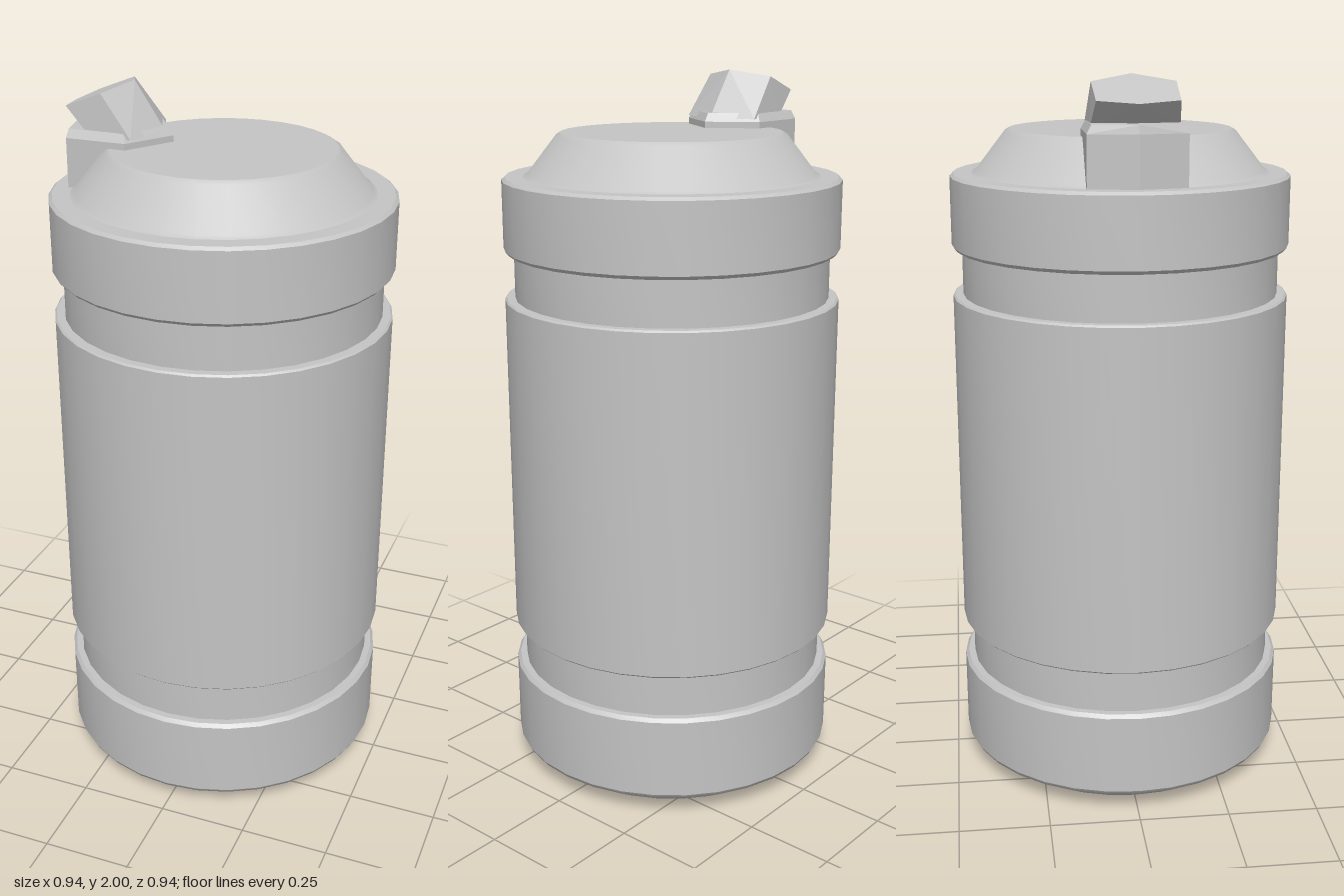
import * as THREE from 'three';
import { toCreasedNormals } from 'three/addons/utils/BufferGeometryUtils.js';
import { ConvexGeometry } from 'three/addons/geometries/ConvexGeometry.js';

const SIDES = 32;

export function createModel() {
  const group = new THREE.Group();
  const grey = new THREE.MeshStandardMaterial({ color: 0xc4c4c4 });
  grey.name = 'grey';

  const add = (name, geometry) => {
    const mesh = new THREE.Mesh(geometry, grey);
    mesh.name = name;
    group.add(mesh);
  };

  // Turned parts: profile of [radius, height], running upward on the outside
  const turned = (name, profile) => {
    const points = profile.map(([r, y]) => new THREE.Vector2(r, y));
    add(name, toCreasedNormals(new THREE.LatheGeometry(points, SIDES), 0.5));
  };

  // Bottom cup with a chamfered foot and a recessed floor
  turned('base', [
    [0, 0.045], [0.255, 0.045], [0.265, 0.04], [0.3, 0.005], [0.31, 0],
    [0.365, 0], [0.38, 0.005], [0.46, 0.058], [0.467, 0.07],
    [0.468, 0.295], [0.459, 0.305], [0.44, 0.305],
  ]);
  turned('lowerGroove', [[0.44, 0.305], [0.44, 0.43]]);

  // Main sleeve
  turned('sleeve', [
    [0.44, 0.43], [0.463, 0.43], [0.468, 0.435],
    [0.468, 1.39], [0.463, 1.395], [0.44, 1.395],
  ]);
  turned('upperGroove', [[0.44, 1.395], [0.44, 1.523]]);

  // Cap band and sloping lid
  turned('lid', [
    [0.44, 1.523], [0.459, 1.523], [0.468, 1.533], [0.468, 1.72],
    [0.459, 1.728], [0.41, 1.728], [0.398, 1.735], [0.318, 1.837],
    [0.305, 1.845], [0, 1.845],
  ]);

  // Convex solid from [x, y, z] points, mirrored across z
  const solid = (name, points) => {
    const all = points.flatMap(([x, y, z]) => z
      ? [new THREE.Vector3(x, y, z), new THREE.Vector3(x, y, -z)]
      : [new THREE.Vector3(x, y, 0)]);
    add(name, new ConvexGeometry(all));
  };

  // Spout socket: upright six-sided block with a bevelled rim
  const ring = (y, inset) => [
    [-0.422 + inset * 0.3, y, 0], [-0.398 + inset * 0.3, y, 0.128 - inset],
    [-0.228 - inset * 0.6, y, 0.128 - inset], [-0.143 - inset * 1.2, y, 0],
  ];
  solid('spoutSocket', [...ring(1.725, 0), ...ring(1.862, 0), ...ring(1.885, 0.012)]);

  // Tilted six-sided nozzle
  solid('spoutNozzle', [
    [-0.425, 1.935, 0], [-0.406, 1.942, 0.105],
    [-0.302, 1.983, 0.108], [-0.252, 2, 0],
    [-0.348, 1.865, 0], [-0.335, 1.87, 0.115],
    [-0.215, 1.87, 0.118], [-0.165, 1.87, 0],
  ]);

  return group;
}
